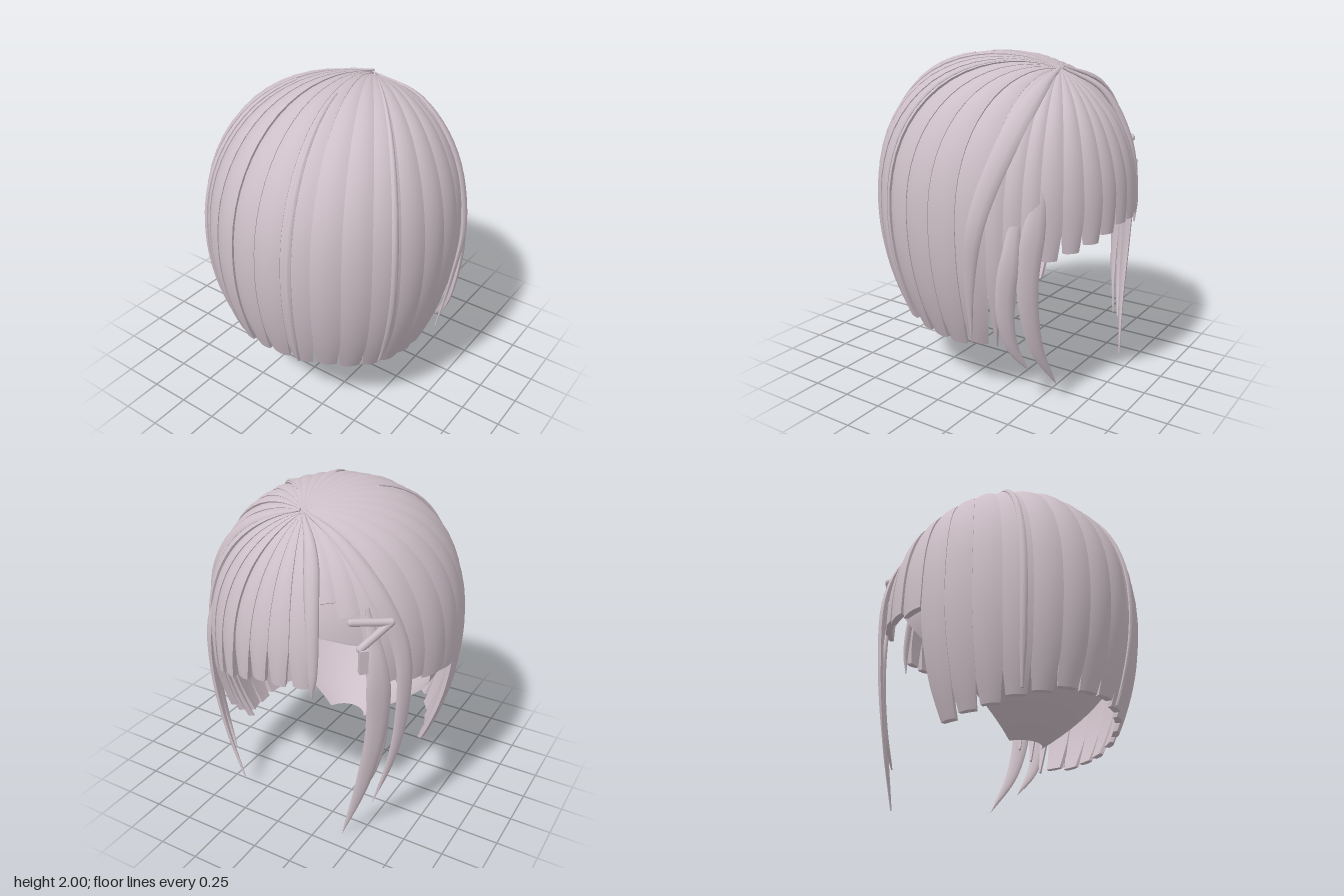
import * as THREE from 'three';
import { toCreasedNormals } from 'three/addons/utils/BufferGeometryUtils.js';

const V = (x, y, z) => new THREE.Vector3(x, y, z);
const rad = THREE.MathUtils.degToRad;
const { lerp, smoothstep } = THREE.MathUtils;

const hair = new THREE.MeshStandardMaterial({ color: 0xcdbfc7 });
hair.name = 'hair';
const lining = new THREE.MeshStandardMaterial({ color: 0xcdbfc7, side: THREE.DoubleSide });
lining.name = 'hair lining';

// Point on the head dome: phi is the rim direction (0 = +z, 90 = +x),
// d runs 0 at the crown, 1 at the widest ring, then straight down in units
function dome(phi, d, lift = 0, below = e => 1 - 0.4 * e * e) {
  const s = d < 1 ? Math.sin(d * Math.PI / 2) : 1;
  const px = Math.sin(phi) * s, pz = -0.46 * (1 - s) + Math.cos(phi) * s;
  const r = Math.min(1, Math.hypot(px, pz));
  const h = d < 1 ? Math.pow(Math.max(0, 1 - r ** 2.2), 1 / 2.2) : 0;
  const f = d > 1 ? below(d - 1) : 1;
  const p = V(px * 0.765 * f, 1.1 + 0.89 * h - Math.max(0, d - 1), pz * 0.81 * f);
  return p.addScaledVector(V(px, h, pz).normalize(), lift);
}

// Closed solid through a list of rings, capped at both ends and wound outward
function loft(rings, crease = 0.7) {
  const n = rings[0].length, pts = rings.flat(), idx = [];
  for (let i = 0; i < rings.length - 1; i++) {
    for (let j = 0; j < n; j++) {
      const a = i * n + j, b = i * n + (j + 1) % n;
      idx.push(a, b, a + n, b, b + n, a + n);
    }
  }
  const last = (rings.length - 1) * n;
  for (let j = 1; j < n - 1; j++) idx.push(0, j + 1, j, last, last + j, last + j + 1);
  let volume = 0;
  const c = V(0, 0, 0);
  for (let i = 0; i < idx.length; i += 3) {
    volume += pts[idx[i]].dot(c.crossVectors(pts[idx[i + 1]], pts[idx[i + 2]]));
  }
  if (volume < 0) idx.reverse();
  const g = new THREE.BufferGeometry().setFromPoints(pts);
  g.setIndex(idx);
  return toCreasedNormals(g, crease);
}

// Strand lying on the dome, bulging outward, narrowed near its cut end;
// tilt raises one edge so that neighbours overlap like shingles
function strand({ phi, half, yEnd, dEnd = 2.1 - yEnd, notch = 0.24, start = 0.004, lift = 0.006, amp = 0.011, tilt = 0.006, inner = 0.03, fade = 0.2 }) {
  const rings = [], N = 28, M = 6;
  for (let i = 0; i <= N; i++) {
    const d = lerp(start, dEnd, i / N);
    const w = half * (1 - notch * Math.max(0, (d - dEnd + fade) / fade));
    const k = Math.min(1, 0.05 + d * 2);
    const ring = [];
    for (let j = 0; j <= M; j++) {
      const v = j / M * 2 - 1;
      ring.push(dome(phi + v * w, d, (lift + amp * (1 - v * v) + tilt * v) * k));
    }
    for (const v of [0.9, 0, -0.9]) ring.push(dome(phi + v * w, d, (lift - inner) * k));
    rings.push(ring);
  }
  return loft(rings);
}

// Free-hanging lock along a path, flat against the head and pointed at the tip
function lock(points, width, thick = 0.022) {
  const curve = new THREE.CatmullRomCurve3(points.map(p => V(...p)));
  const rings = [], N = 30, M = 10;
  for (let i = 0; i <= N; i++) {
    const t = i / N, p = curve.getPoint(t);
    const out = V(p.x / 0.77, Math.max(0, (p.y - 1.1) / 0.9), p.z / 0.82).normalize();
    const side = curve.getTangent(t).cross(out).normalize();
    const w = Math.min(1, 0.15 + 2.5 * t) * (1 - t ** 3) + 0.01;
    rings.push(Array.from({ length: M }, (_, j) => {
      const a = j / M * Math.PI * 2;
      return p.clone().addScaledVector(side, Math.cos(a) * width * w)
        .addScaledVector(out, Math.sin(a) * thick * (0.2 + 0.8 * w));
    }));
  }
  return loft(rings, 1.2);
}

// Smooth inner cap, open at the face and drawn in towards the nape
function innerCap() {
  const rows = 36, cols = 64, pts = [], idx = [];
  const below = e => 1 - Math.pow(e / 0.85, 2) * 0.9;
  for (let i = 0; i <= rows; i++) {
    const d = 1.78 * i / rows;
    const limit = d < 1 ? lerp(180, 108, smoothstep(d, 0.68, 1)) : lerp(108, 65, (d - 1) / 0.78);
    for (let j = 0; j <= cols; j++) {
      const p = dome(rad(limit * (j / cols * 2 - 1)), d, -0.045 * Math.min(1, 0.1 + d * 2), below);
      p.z += 0.08 * Math.max(0, d - 1);
      pts.push(p);
      if (i < rows && j < cols) {
        const a = i * (cols + 1) + j, b = a + cols + 1;
        idx.push(a, b, a + 1, a + 1, b, b + 1);
      }
    }
  }
  const g = new THREE.BufferGeometry().setFromPoints(pts);
  g.setIndex(idx);
  g.computeVertexNormals();
  return g;
}

export function createModel() {
  const root = new THREE.Group();
  root.name = 'bobHair';
  const add = (name, geo, mat = hair) => {
    const m = new THREE.Mesh(geo, mat);
    m.name = name;
    root.add(m);
    return m;
  };
  // Evenly spread strands between two directions (degrees)
  const fan = (name, from, to, count, options) => {
    const step = (to - from) / count;
    for (let i = 0; i < count; i++) {
      const deg = from + step * (i + 0.5);
      add(name, strand({ phi: rad(deg), half: rad(step * 0.54), lift: 0.004 + (i % 3) * 0.003, ...options(deg, i) }));
    }
  };

  add('innerCap', innerCap(), lining);

  // Long blunt hair around the back and sides
  fan('longStrand', -85, 113, 16, (deg, i) => ({
    yEnd: 0.48 - 0.15 * Math.sin(rad(deg)) ** 2 + (i % 2) * 0.008,
  }));
  // Pointed side strands beside the face
  fan('sideStrand', 113, 134, 3, (deg, i) => ({ yEnd: 0.34 + i * 0.1, notch: 0.85, fade: 0.45 }));
  // Short fringe
  fan('fringeStrand', 134, 201, 7, (deg, i) => ({
    yEnd: 0.92 + 0.14 * Math.min(1, i / 4), notch: 0.35, fade: 0.2,
  }));
  // Swept hair at the parting and the tucked side
  fan('partingStrand', 204, 223, 2, (deg, i) => ({ dEnd: 0.62 + i * 0.08, notch: 0.1 }));
  fan('tuckedStrand', 223, 275, 4, (deg, i) => ({ yEnd: 1.08 - i * 0.03, notch: 0.1, fade: 0.1 }));

  // Thin raised strands over the dome
  for (const [deg, yEnd, start] of [[-39, 0.45, 0.3], [18, 0.47, 0.3], [61, 0.4, 0.15]]) {
    add('thinStrand', strand({ phi: rad(deg), half: rad(1.5), yEnd, start, lift: 0.022, amp: 0.01, tilt: 0, notch: 0.5 }));
  }

  // Loose locks framing the face
  const locks = [
    ['tuckedLock', 0.06, [[0, 1.93, -0.39], [-0.3, 1.82, -0.48], [-0.53, 1.58, -0.5], [-0.67, 1.25, -0.46], [-0.67, 0.8, -0.45], [-0.62, 0.5, -0.47], [-0.54, 0.22, -0.52]]],
    ['longFaceLock', 0.075, [[-0.5, 1.52, -0.56], [-0.58, 1.2, -0.58], [-0.58, 0.8, -0.57], [-0.51, 0.4, -0.59], [-0.4, 0, -0.64]]],
    ['thinFaceLock', 0.035, [[-0.56, 1.3, -0.56], [-0.6, 0.8, -0.53], [-0.54, 0.45, -0.55], [-0.44, 0.24, -0.6]]],
    ['partingLock', 0.045, [[0, 1.92, -0.39], [-0.16, 1.79, -0.57], [-0.25, 1.5, -0.71], [-0.28, 1.15, -0.76], [-0.27, 0.98, -0.76]]],
    ['faceLock', 0.07, [[0.42, 1.55, -0.54], [0.56, 1.2, -0.56], [0.6, 0.8, -0.53], [0.52, 0.4, -0.54], [0.36, 0.1, -0.59]]],
    ['faceLock', 0.06, [[0.55, 1.4, -0.47], [0.66, 1, -0.46], [0.66, 0.65, -0.42], [0.6, 0.4, -0.43], [0.5, 0.22, -0.48]]],
    ['sideLock', 0.065, [[0.02, 1.92, -0.38], [0.32, 1.82, -0.42], [0.6, 1.54, -0.38], [0.745, 1.15, -0.29], [0.73, 0.8, -0.23], [0.66, 0.38, -0.19]]],
  ];
  for (const [name, width, path] of locks) add(name, lock(path, width));

  // Hair clip: two rods meeting at a corner, with a small bar below
  const rod = (a, b) => {
    const from = V(...a), to = V(...b), dir = to.clone().sub(from);
    const m = add('hairClip', new THREE.CapsuleGeometry(0.022, dir.length(), 4, 10));
    m.position.copy(from).lerp(to, 0.5);
    m.quaternion.setFromUnitVectors(V(0, 1, 0), dir.normalize());
  };
  rod([-0.45, 1.46, -0.64], [-0.62, 1.45, -0.51]);
  rod([-0.62, 1.45, -0.51], [-0.5, 1.31, -0.63]);
  const bar = add('hairClipBar', new THREE.BoxGeometry(0.05, 0.14, 0.035));
  bar.position.set(-0.52, 1.24, -0.63);
  bar.rotation.y = Math.PI / 4;

  return root;
}
